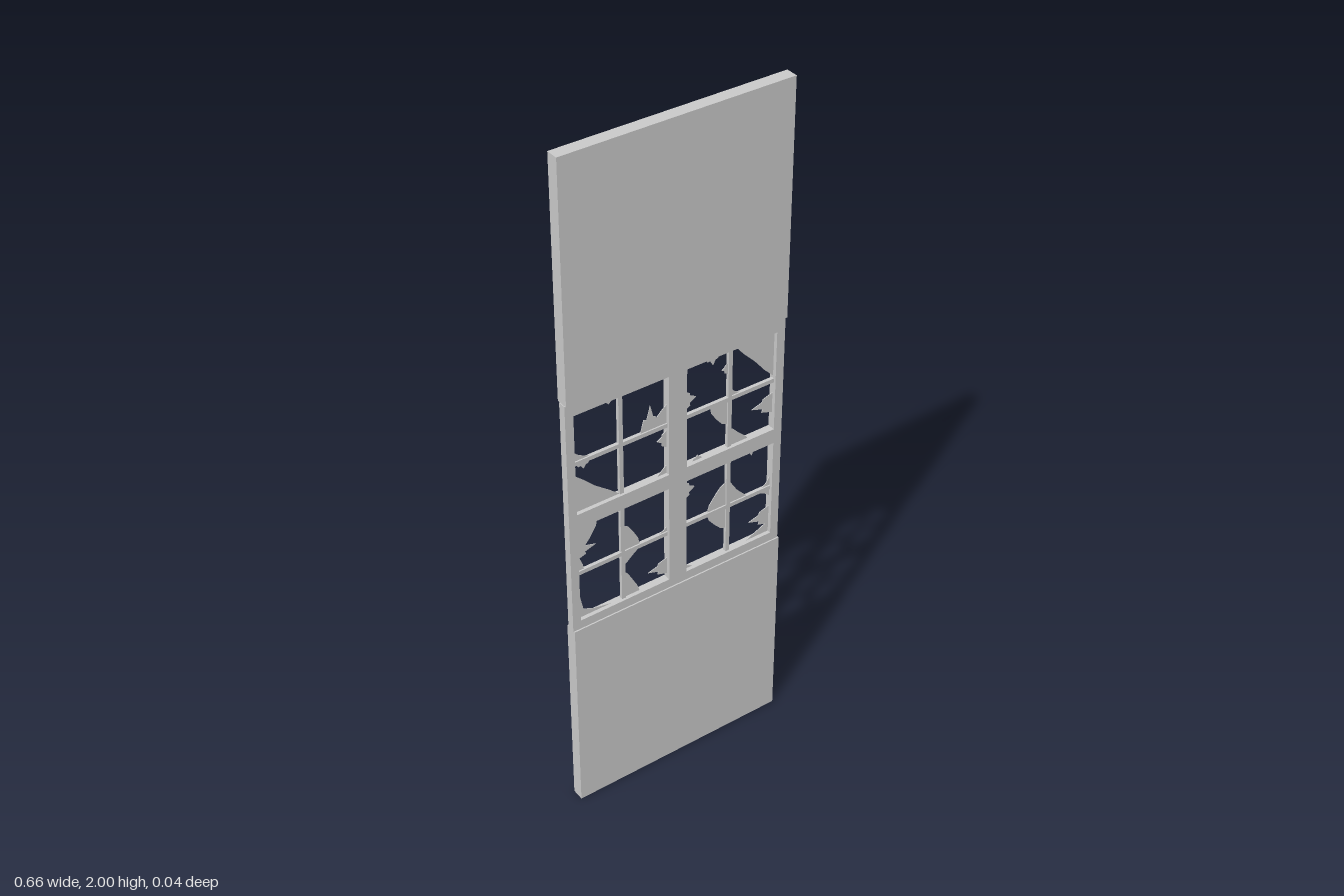
import * as THREE from 'three';

const grey = new THREE.MeshStandardMaterial({ color: 0xcccccc });
const thin = new THREE.MeshStandardMaterial({ color: 0xcccccc, side: THREE.DoubleSide });

const X0 = -0.332, X1 = 0.328;          // frame sides
const Y0 = 0.615, Y1 = 1.33;            // frame bottom and top
const W = 0.278, H = 0.303;             // size of each of the four openings
const BAR = 0.012;                      // glazing bar width
const PANE_W = (W - BAR) / 2, PANE_H = (H - BAR) / 2;

// Box given by its limits on each axis
function box(name, x0, x1, y0, y1, z0, z1) {
  const mesh = new THREE.Mesh(new THREE.BoxGeometry(x1 - x0, y1 - y0, z1 - z0), grey);
  mesh.position.set((x0 + x1) / 2, (y0 + y1) / 2, (z0 + z1) / 2);
  mesh.name = name;
  return mesh;
}

// Rectangle about a centre, as shape or hole
function rect(Type, cx, cy, w, h) {
  const p = new Type();
  p.moveTo(cx - w / 2, cy - h / 2);
  p.lineTo(cx + w / 2, cy - h / 2);
  p.lineTo(cx + w / 2, cy + h / 2);
  p.lineTo(cx - w / 2, cy + h / 2);
  p.closePath();
  return p;
}

// Thin glass plate from corners in pane units (0..1 across and up)
function plate(points) {
  const shape = new THREE.Shape(points.map(([u, v]) => new THREE.Vector2(u * PANE_W, v * PANE_H)));
  const mesh = new THREE.Mesh(new THREE.ExtrudeGeometry(shape, { depth: 0.002, bevelEnabled: false }), thin);
  mesh.name = 'glassShard';
  return mesh;
}

// Jagged tooth on one edge of a pane: position along the edge, width, length
function tooth(edge, at, width, length) {
  const outline = [[-0.5, 0], [-0.32, 0.5], [-0.16, 0.45], [0.04, 1], [0.2, 0.5], [0.34, 0.45], [0.5, 0]];
  const place = {
    left: (s, d) => [d, s], right: (s, d) => [1 - d, s],
    bottom: (s, d) => [s, d], top: (s, d) => [s, 1 - d],
  }[edge];
  return plate(outline.map(([s, d]) => place(at + s * width, d * length)));
}

// Shard filling a corner: reach across, reach up, and fullness of its broken edge
function corner(where, across, up, fullness) {
  const right = where.endsWith('Right'), top = where.startsWith('top');
  const outline = [[0, 0], [1, 0], [0.3 + fullness, fullness * 0.45], [fullness, fullness],
    [fullness * 0.45, 0.3 + fullness], [0, 1]];
  return plate(outline.map(([a, b]) => [right ? 1 - a * across : a * across, top ? 1 - b * up : b * up]));
}

// The four openings, each with the broken glass left in its panes
const openings = [
  { name: 'upperRightSash', x: -0.169, y: 1.1415, glass: {
    topLeft: () => [corner('bottomLeft', 0.36, 0.22, 0.4), tooth('top', 0.8, 0.35, 0.12)],
    topRight: () => [tooth('bottom', 0.62, 0.42, 0.5), corner('bottomRight', 0.45, 0.38, 0.5)],
    bottomLeft: () => [corner('bottomLeft', 1, 0.8, 0.48), tooth('top', 0.22, 0.32, 0.14)],
    bottomRight: () => [tooth('right', 0.74, 0.36, 0.22), corner('bottomRight', 0.22, 0.17, 0.5)],
  } },
  { name: 'upperLeftSash', x: 0.164, y: 1.1415, glass: {
    topLeft: () => [tooth('left', 0.28, 0.4, 0.27), tooth('top', 0.64, 0.36, 0.2), tooth('right', 0.6, 0.22, 0.14)],
    topRight: () => [corner('topRight', 0.92, 0.95, 0.5), corner('bottomLeft', 0.2, 0.16, 0.4)],
    bottomLeft: () => [corner('topRight', 0.4, 0.5, 0.62), tooth('bottom', 0.3, 0.24, 0.1)],
    bottomRight: () => [tooth('right', 0.55, 0.42, 0.5), corner('bottomLeft', 0.42, 0.38, 0.5)],
  } },
  { name: 'lowerRightSash', x: -0.169, y: 0.7935, glass: {
    topLeft: () => [corner('topLeft', 0.5, 0.62, 0.62), tooth('left', 0.42, 0.35, 0.45), corner('bottomLeft', 0.16, 0.35, 0.6)],
    topRight: () => [corner('bottomLeft', 0.36, 0.55, 0.6), corner('bottomRight', 0.2, 0.1, 0.4)],
    bottomLeft: () => [corner('bottomLeft', 0.76, 1, 0.16)],
    bottomRight: () => [corner('topLeft', 0.34, 0.26, 0.5), corner('bottomLeft', 0.34, 0.58, 0.55),
      tooth('right', 0.28, 0.36, 0.45)],
  } },
  { name: 'lowerLeftSash', x: 0.164, y: 0.7935, glass: {
    topLeft: () => [tooth('left', 0.72, 0.4, 0.25), corner('bottomRight', 0.44, 0.5, 0.6)],
    topRight: () => [corner('bottomLeft', 0.42, 0.5, 0.45), tooth('top', 0.52, 0.24, 0.14),
      corner('bottomRight', 0.18, 0.2, 0.4)],
    bottomLeft: () => [corner('topRight', 0.44, 0.46, 0.6), corner('bottomLeft', 0.2, 0.14, 0.4)],
    bottomRight: () => [corner('bottomRight', 0.55, 0.22, 0.5), tooth('right', 0.38, 0.42, 0.5),
      corner('topRight', 0.34, 0.16, 0.4)],
  } },
];

// Glazing bars and broken panes of one opening, built about its centre
function sash({ name, x, y, glass }) {
  const group = new THREE.Group();
  group.name = name;
  const b = BAR / 2;
  group.add(box('verticalBar', -b, b, -H / 2, H / 2, -0.004, 0.006));
  for (const x0 of [-W / 2, b]) group.add(box('horizontalBar', x0, x0 + PANE_W, -b, b, -0.004, 0.006));
  for (const [where, makeShards] of Object.entries(glass)) {
    const pane = new THREE.Group();
    pane.name = where + 'Pane';
    pane.position.set(where.endsWith('Right') ? b : -W / 2, where.startsWith('top') ? b : -H / 2, 0);
    pane.add(...makeShards());
    group.add(pane);
  }
  group.position.set(x, y, 0);
  return group;
}

export function createModel() {
  const model = new THREE.Group();
  model.name = 'brokenWindowWall';

  // Wall panels below and above the window, each of an outer and an inner sheet
  for (const [name, y0, y1] of [['lowerPanel', 0, Y0], ['upperPanel', Y1, 2]]) {
    const panel = new THREE.Group();
    panel.name = name;
    panel.add(box('outerSheet', -0.33, 0.33, y0, y1, -0.001, 0.017));
    panel.add(box('innerSheet', -0.33, 0.33, y0, y1, -0.0185, -0.001));
    model.add(panel);
  }

  // Window frame with four openings
  const outline = rect(THREE.Shape, (X0 + X1) / 2, (Y0 + Y1) / 2, X1 - X0, Y1 - Y0);
  for (const o of openings) outline.holes.push(rect(THREE.Path, o.x, o.y, W, H));
  const frame = new THREE.Mesh(new THREE.ExtrudeGeometry(outline, { depth: 0.023, bevelEnabled: false }), grey);
  frame.position.z = -0.01;
  frame.name = 'windowFrame';
  model.add(frame);

  for (const o of openings) model.add(sash(o));
  return model;
}
